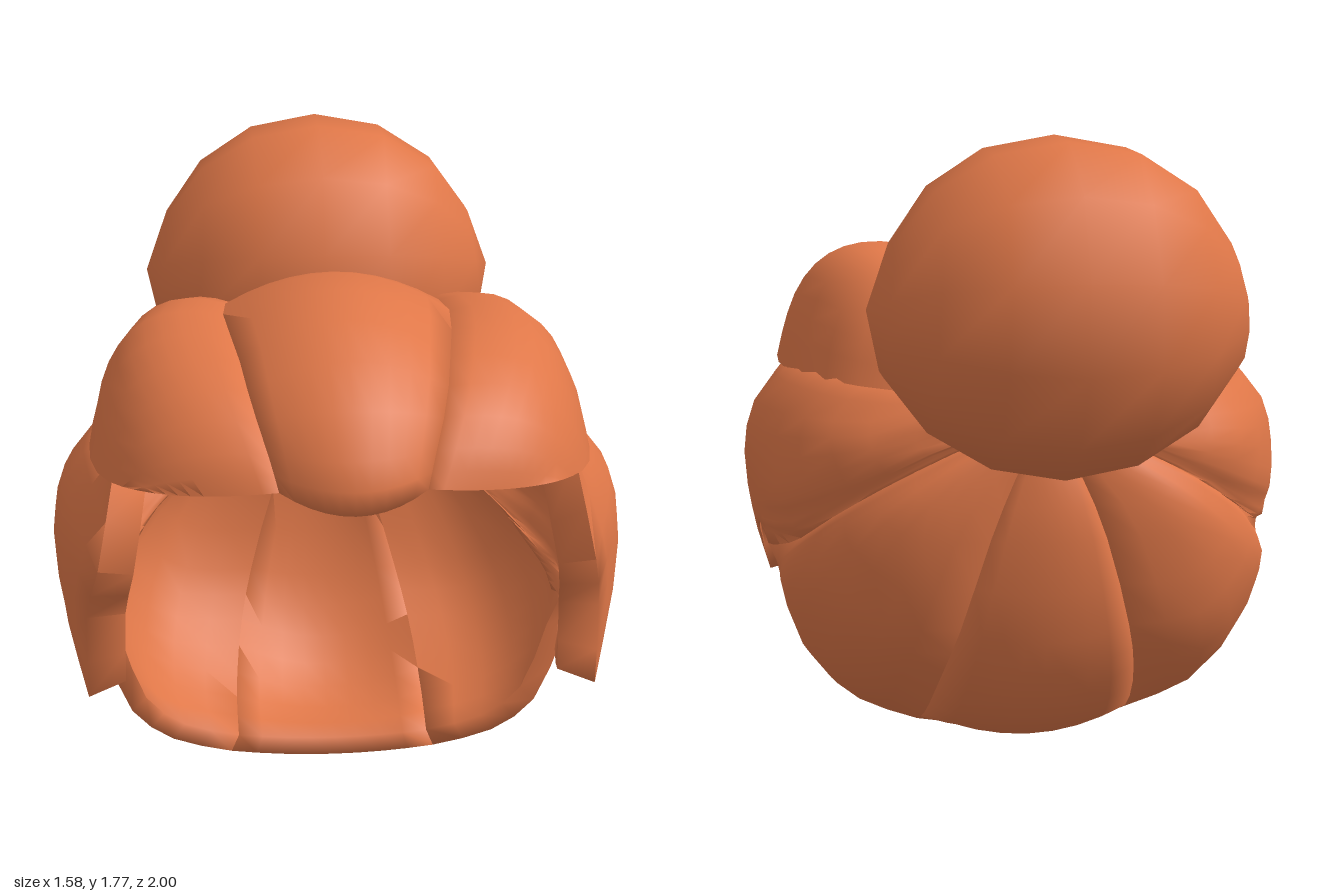
import * as THREE from 'three';
import { toCreasedNormals } from 'three/addons/utils/BufferGeometryUtils.js';

const KNOT = [0, 1.0, -0.4];
const ROWS = 14;
const hair = new THREE.MeshStandardMaterial({ color: 0xdf7748 });
hair.name = 'copper hair';

// Guide strands: each runs from the knot to the rim
const strand = (...pts) => [KNOT, ...pts];
const mirror = (s) => s.map(([x, y, z]) => [-x, y, z]);

const topMid = strand([0, 1.2, -0.3], [0, 1.37, -0.14], [0, 1.45, 0], [0, 1.545, 0.29], [0, 1.525, 0.59], [0, 1.4, 0.83], [0, 1.22, 0.98], [0, 1.11, 0.995]);
const topSeam = strand([0.13, 1.14, -0.3], [0.22, 1.29, -0.15], [0.28, 1.38, 0], [0.31, 1.43, 0.28], [0.28, 1.41, 0.58], [0.25, 1.33, 0.77], [0.21, 1.22, 0.88], [0.19, 1.15, 0.92]);
const fringeMid = strand([0.22, 1.17, -0.3], [0.39, 1.28, -0.14], [0.49, 1.36, 0], [0.565, 1.385, 0.28], [0.545, 1.35, 0.55], [0.49, 1.29, 0.73], [0.43, 1.2, 0.84], [0.38, 1.13, 0.88]);
const fringeSeam = strand([0.2, 1.05, -0.36], [0.45, 1.07, -0.25], [0.6, 1.08, -0.05], [0.67, 1.08, 0.2], [0.68, 1.09, 0.45], [0.64, 1.1, 0.65], [0.58, 1.11, 0.75], [0.53, 1.12, 0.81]);

// Side strands, the first tucked under the fringe, the others ending in the pointed sideburn
const sideStrands = [
  strand([0.21, 1.06, -0.34], [0.45, 1.09, -0.22], [0.58, 1.12, -0.02], [0.63, 1.13, 0.25], [0.62, 1.13, 0.48], [0.61, 1.13, 0.64]),
  strand([0.27, 1.0, -0.38], [0.55, 0.98, -0.25], [0.7, 0.98, -0.03], [0.76, 0.98, 0.25], [0.73, 0.95, 0.5], [0.66, 0.87, 0.74]),
  strand([0.28, 0.95, -0.38], [0.55, 0.9, -0.3], [0.73, 0.85, -0.04], [0.79, 0.84, 0.25], [0.77, 0.76, 0.45], [0.7, 0.67, 0.58]),
  strand([0.26, 0.93, -0.39], [0.52, 0.83, -0.31], [0.71, 0.74, -0.1], [0.77, 0.7, 0.2], [0.76, 0.62, 0.42], [0.7, 0.43, 0.57]),
  strand([0.25, 0.93, -0.39], [0.5, 0.81, -0.31], [0.69, 0.7, -0.1], [0.76, 0.66, 0.18], [0.75, 0.58, 0.35], [0.71, 0.45, 0.46]),
  strand([0.23, 0.93, -0.39], [0.47, 0.81, -0.32], [0.68, 0.66, -0.1], [0.75, 0.63, 0.15], [0.75, 0.62, 0.26], [0.74, 0.59, 0.37]),
];
const backSeam = strand([0.2, 0.93, -0.39], [0.42, 0.82, -0.34], [0.58, 0.71, -0.23], [0.67, 0.62, -0.08], [0.72, 0.58, 0.08], [0.73, 0.56, 0.22]);
const backStrands = [
  strand([0.2, 0.91, -0.4], [0.43, 0.78, -0.36], [0.63, 0.63, -0.2], [0.71, 0.53, -0.04], [0.7, 0.46, 0.1], [0.67, 0.42, 0.21]),
  strand([0.2, 0.9, -0.41], [0.42, 0.74, -0.39], [0.6, 0.55, -0.25], [0.66, 0.42, -0.1], [0.65, 0.3, 0.05], [0.59, 0.2, 0.19]),
  strand([0.15, 0.88, -0.42], [0.33, 0.7, -0.42], [0.45, 0.42, -0.33], [0.49, 0.27, -0.2], [0.5, 0.16, -0.03], [0.47, 0.09, 0.16]),
];
const napeSeam = strand([0.07, 0.88, -0.41], [0.15, 0.7, -0.42], [0.24, 0.4, -0.36], [0.28, 0.24, -0.24], [0.3, 0.1, -0.06], [0.3, 0.03, 0.13]);
const napeMid = strand([0, 0.88, -0.43], [0, 0.7, -0.45], [0, 0.36, -0.39], [0, 0.15, -0.27], [0, 0.03, -0.1], [0, 0.005, 0.12]);

const curveOf = (pts) => new THREE.CatmullRomCurve3(pts);

// Cross-section of a lock: a full arch through three points, otherwise a smooth curve
function crossSection(points) {
  if (points.length !== 3) return curveOf(points);
  const [a, m, b] = points;
  const control = m.clone().multiplyScalar(2).addScaledVector(a, -0.5).addScaledVector(b, -0.5);
  return new THREE.QuadraticBezierCurve3(a, control, b);
}

// Loft a thick lock through its strands; the inner skin is moved towards the core point
function lock(name, strands, core, thickness, steps) {
  const guides = strands.map((s) => curveOf(s.map((p) => new THREE.Vector3(...p))));
  const cols = (strands.length - 1) * steps + 1;
  const ring = cols * 2;
  const position = [];
  const index = [];
  const centre = new THREE.Vector3(...core);
  for (let i = 0; i <= ROWS; i++) {
    const points = guides.map((g) => g.getPoint(i / ROWS));
    const across = i === 0 ? null : crossSection(points);
    const outer = [];
    for (let j = 0; j < cols; j++) {
      outer.push(across ? across.getPoint(j / (cols - 1)) : points[0].clone());
    }
    const inner = outer.map((p) => p.clone().add(centre.clone().sub(p).setLength(thickness)));
    for (const p of [...outer, ...inner.reverse()]) position.push(p.x, p.y, p.z);
  }
  // Outer skin, inner skin and the two seam walls
  for (let i = 0; i < ROWS; i++) {
    for (let k = 0; k < ring; k++) {
      const a = i * ring + k;
      const b = i * ring + ((k + 1) % ring);
      index.push(a, a + ring, b + ring);
      if (i > 0 || k === cols - 1 || k === ring - 1) index.push(a, b + ring, b);
    }
  }
  // Rim between the two skins
  const last = ROWS * ring;
  for (let j = 0; j < cols - 1; j++) {
    const o = last + j;
    const n = last + ring - 1 - j;
    index.push(o, n, n - 1, o, n - 1, o + 1);
  }
  const geometry = new THREE.BufferGeometry();
  geometry.setAttribute('position', new THREE.Float32BufferAttribute(position, 3));
  geometry.setIndex(index);
  const mesh = new THREE.Mesh(toCreasedNormals(geometry, 1.7), hair);
  mesh.name = name;
  return mesh;
}

export function createModel() {
  const group = new THREE.Group();
  group.name = 'hairWithBun';
  const topCore = [0, 1.08, 0.15];
  const headCore = [0, 0.8, 0.25];

  // Middle locks over the crown and down the nape
  group.add(lock('crownLock', [mirror(topSeam), topMid, topSeam], topCore, 0.12, 5));
  group.add(lock('napeLock', [napeSeam, napeMid, mirror(napeSeam)], headCore, 0.06, 4));

  // Paired locks
  const pairs = [
    ['FringeLock', [topSeam, fringeMid, fringeSeam], topCore, 0.1, 5],
    ['SideLock', [...sideStrands, backSeam], [0, 0.65, 0.38], 0.11, 2],
    ['BackLock', [backSeam, ...backStrands, napeSeam], headCore, 0.06, 2],
  ];
  for (const [name, strands, core, thickness, steps] of pairs) {
    group.add(lock('left' + name, strands, core, thickness, steps));
    group.add(lock('right' + name, strands.map(mirror).reverse(), core, thickness, steps));
  }

  // Gathered hair under the crown, where the locks meet
  const profile = [[0, -0.1], [0.12, -0.1], [0.14, -0.05], [0.21, 0.01], [0.23, 0.09], [0, 0.1]];
  const gather = new THREE.Mesh(
    new THREE.LatheGeometry(profile.map(([r, y]) => new THREE.Vector2(r, y)), 10),
    hair,
  );
  gather.name = 'gatheredKnot';
  gather.scale.z = 0.5;
  gather.position.set(0, 1.02, -0.28);
  group.add(gather);

  // Round bun with its poles at the sides, slightly narrower towards the top
  const ball = new THREE.SphereGeometry(1, 12, 8);
  ball.rotateZ(Math.PI / 2);
  ball.rotateX(-0.32);
  const p = ball.attributes.position;
  for (let i = 0; i < p.count; i++) {
    const y = p.getY(i);
    p.setX(i, p.getX(i) * (1 - 0.22 * Math.max(0, y) * (1 - y)));
  }
  ball.scale(0.52, 0.465, 0.44);
  ball.computeVertexNormals();
  const bun = new THREE.Mesh(toCreasedNormals(ball, 1.5), hair);
  bun.name = 'bun';
  bun.position.set(0, 1.32, -0.57);
  group.add(bun);
  return group;
}
